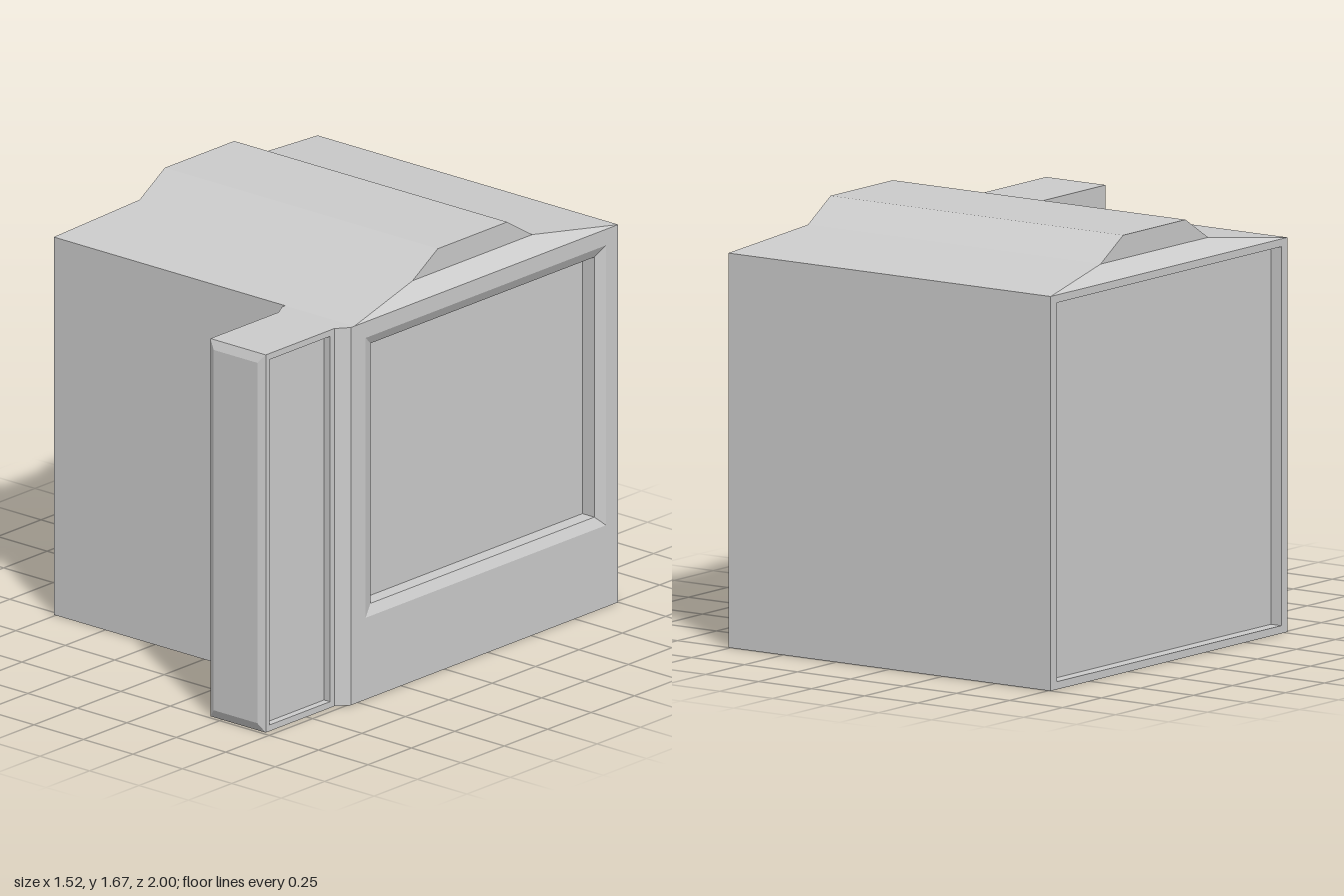
import * as THREE from 'three';

const H = 1.525; // wall height
const material = new THREE.MeshStandardMaterial({ color: 0xcccccc, flatShading: true });

// Rectangles in a plane, corners counter-clockwise as seen from outside; d is the plane's position
const corners = (u0, u1, v0, v1) => [[u0, v0], [u1, v0], [u1, v1], [u0, v1]];
const front = (x0, x1, y0, y1, d) => corners(x0, x1, y0, y1).map(([x, y]) => [x, y, d]);
const left = (z0, z1, y0, y1, d) => corners(z1, z0, y0, y1).map(([z, y]) => [d, y, z]);
const right = (z0, z1, y0, y1, d) => corners(z0, z1, y0, y1).map(([z, y]) => [d, y, z]);
const above = (x0, x1, z0, z1, d) => corners(x0, x1, z1, z0).map(([x, z]) => [x, d, z]);

function quadMesh(name, quads) {
  const pos = quads.flatMap(([a, b, c, d]) => [a, b, c, a, c, d].flat());
  const geo = new THREE.BufferGeometry();
  geo.setAttribute('position', new THREE.Float32BufferAttribute(pos, 3));
  geo.computeVertexNormals();
  const mesh = new THREE.Mesh(geo, material);
  mesh.name = name;
  return mesh;
}

// Joins successive rectangles and closes the last one
function loft(name, rings) {
  const quads = [rings[rings.length - 1]];
  for (let r = 0; r + 1 < rings.length; r++) {
    const a = rings[r], b = rings[r + 1];
    for (let i = 0; i < 4; i++) {
      const j = (i + 1) % 4;
      quads.push([a[i], a[j], b[j], b[i]]);
    }
  }
  return quadMesh(name, quads);
}

// Horizontal polygon from [x, z] points, facing up or down
function slab(name, points, y, up) {
  const s = up ? -1 : 1;
  const shape = new THREE.Shape(points.map(([x, z]) => new THREE.Vector2(x, s * z)));
  const mesh = new THREE.Mesh(new THREE.ShapeGeometry(shape).rotateX(s * Math.PI / 2).translate(0, y, 0), material);
  mesh.name = name;
  return mesh;
}

export function createModel() {
  const model = new THREE.Group();
  model.name = 'block';

  // Ground plan [x, z], counter-clockwise from above
  const plan = [
    [-0.76, 0.52], [0.41, 0.52], [0.41, 0.54], [0.44, 0.59], [0.44, 0.985],
    [0.72, 0.985], [0.72, 0.59], [0.76, 0.54], [0.76, -1], [-0.76, -1],
  ];

  // Plain walls; the other sides carry panels
  const plain = [0, 1, 2, 3, 6, 8];
  model.add(quadMesh('plainWalls', plain.map((i) => {
    const [px, pz] = plan[i], [qx, qz] = plan[i + 1];
    return [[px, 0, pz], [qx, 0, qz], [qx, H, qz], [px, H, pz]];
  })));
  model.add(slab('floor', plan, 0, false));
  model.add(slab('postTop', [...plan.slice(1, 8), [0.76, 0.52]], H, true));

  // Left wall: bevelled frame around a recessed panel
  model.add(loft('leftWallPanel', [
    left(-1, 0.54, 0, H, 0.76),
    left(-0.93, 0.455, 0.33, 1.46, 0.76),
    left(-0.885, 0.405, 0.37, 1.42, 0.74),
    left(-0.885, 0.405, 0.37, 1.42, 0.68),
  ]));

  // Right wall: narrow frame around a recessed panel
  model.add(loft('rightWallPanel', [
    right(-1, 0.52, 0, H, -0.76),
    right(-0.96, 0.48, 0.03, H - 0.03, -0.76),
    right(-0.96, 0.48, 0.03, H - 0.03, -0.71),
  ]));

  // Post: recessed outer side and bevelled front
  model.add(loft('postSidePanel', [
    left(0.59, 0.985, 0, H, 0.72),
    left(0.615, 0.965, 0.025, H - 0.025, 0.72),
    left(0.615, 0.965, 0.025, H - 0.025, 0.69),
  ]));
  model.add(loft('postFront', [
    front(0.44, 0.72, 0, H, 0.985),
    front(0.47, 0.69, 0.035, H - 0.035, 1),
  ]));

  // Roof: shallow slope rising to a raised ridge
  model.add(loft('roof', [
    above(-0.76, 0.76, -1, 0.52, H),
    above(-0.69, 0.69, -0.585, 0.105, 1.58),
    above(-0.69, 0.69, -0.44, -0.04, 1.67),
  ]));

  return model;
}
